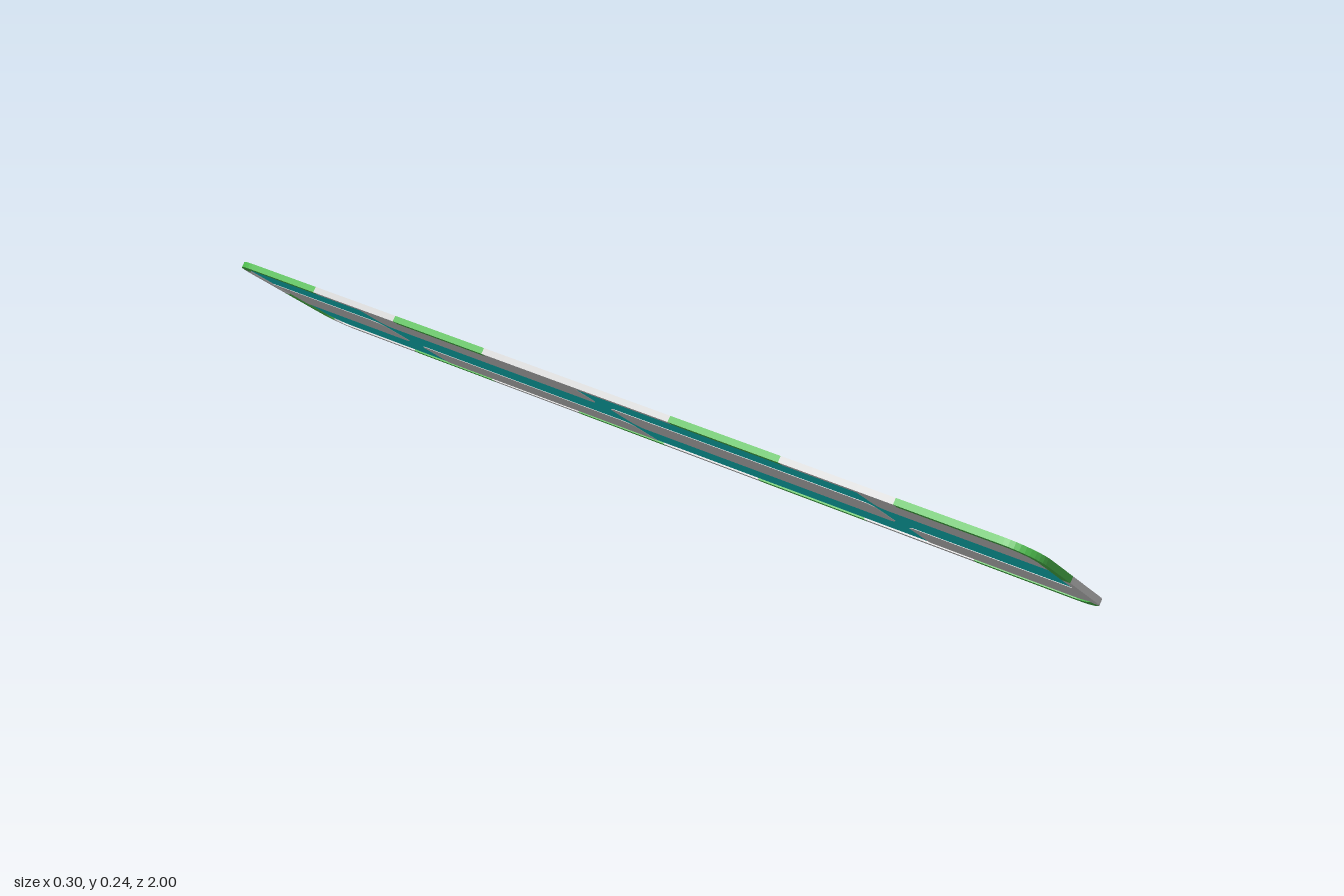
import * as THREE from 'three';

const HALF_W = 0.187, HALF_L = 1, CORNER = 0.065; // board outline
const RIM_W = 0.017, RIM_H = 0.0125;

// Rectangle with its own radius at each corner: [x0y0, x1y0, x1y1, x0y1]
function roundedRect(x0, x1, y0, y1, [a, b, c, d]) {
  const s = new THREE.Shape();
  const arc = (x, y, r, start) => {
    if (r > 0) s.absarc(x, y, r, start, start + Math.PI / 2, false);
    else s.lineTo(x, y);
  };
  s.moveTo(x0 + a, y0);
  s.lineTo(x1 - b, y0);
  arc(x1 - b, y0 + b, b, -Math.PI / 2);
  s.lineTo(x1, y1 - c);
  arc(x1 - c, y1 - c, c, 0);
  s.lineTo(x0 + d, y1);
  arc(x0 + d, y1 - d, d, Math.PI / 2);
  s.lineTo(x0, y0 + a);
  arc(x0 + a, y0 + a, a, Math.PI);
  return s;
}

// Flat slab lying in the xz plane, centred on y = 0 (shape y becomes -z)
function slab(name, shape, height, material) {
  const g = new THREE.ExtrudeGeometry(shape, { depth: height, bevelEnabled: false, curveSegments: 6 });
  g.translate(0, 0, -height / 2);
  g.rotateX(-Math.PI / 2);
  const mesh = new THREE.Mesh(g, material);
  mesh.name = name;
  return mesh;
}

// Which stretches of the rim are green
function rimIsGreen(x, z) {
  const within = (v, lo, hi) => v >= lo && v < hi;
  const highSide = x < 0;
  if (Math.abs(z) > 0.985) {
    return z > 0 ? x < -0.02 || x > 0.15 : x < -0.15 || within(x, 0, 0.16);
  }
  if (highSide) return within(Math.abs(z), 0.24, 0.49) || Math.abs(z) > 0.73;
  return z > 0.73 || within(z, 0.24, 0.49) || within(z, -0.24, 0) || within(z, -0.73, -0.49);
}

export function createModel() {
  const make = (name, color) => {
    const m = new THREE.MeshStandardMaterial({ color });
    m.name = name;
    return m;
  };
  const teal = make('teal', 0x0ecaca);
  const grey = make('lightGrey', 0xcdcdcd);
  const green = make('green', 0x4cb84c);

  const board = new THREE.Group();
  board.name = 'board';

  // Teal panel, tucked under the rim
  const pw = 0.178, pl = 0.991, r = 0.056, c = 0.022;
  board.add(slab('panel', roundedRect(-pw, pw, -pl, pl, [r, r, r, r]), 0.006, teal));

  // Grey patches in a staggered pattern, showing on both faces
  const e = 0.06;
  const patches = [
    roundedRect(-e, e, -0.62, 0, [c, c, c, c]),
    roundedRect(-e, e, 0.64, pl, [c, c, 0, 0]),
    roundedRect(e, pw, 0.02, 0.62, [c, 0, 0, c]),
    roundedRect(-pw, -e, 0.02, 0.62, [0, c, c, 0]),
    roundedRect(e, pw, -pl, -0.635, [0, r, 0, c]),
    roundedRect(-pw, -e, -pl, -0.635, [r, 0, c, 0]),
  ];
  for (const p of patches) board.add(slab('panelPatch', p, 0.008, grey));

  // Rim, cut into runs of one colour
  const outline = roundedRect(-HALF_W, HALF_W, -HALF_L, HALF_L, [CORNER, CORNER, CORNER, CORNER]);
  const outer = outline.getSpacedPoints(480);
  const inner = outer.map((p) => {
    const core = new THREE.Vector2(
      THREE.MathUtils.clamp(p.x, CORNER - HALF_W, HALF_W - CORNER),
      THREE.MathUtils.clamp(p.y, CORNER - HALF_L, HALF_L - CORNER));
    return p.clone().sub(core).normalize().multiplyScalar(-RIM_W).add(p);
  });
  const colourAt = (i) => rimIsGreen(
    (outer[i].x + outer[i + 1].x) / 2, -(outer[i].y + outer[i + 1].y) / 2);
  const last = outer.length - 1;
  for (let start = 0; start < last;) {
    const isGreen = colourAt(start);
    let end = start + 1;
    while (end < last && colourAt(end) === isGreen) end++;
    const run = new THREE.Shape([
      ...outer.slice(start, end + 1),
      ...inner.slice(start, end + 1).reverse(),
    ]);
    board.add(slab(isGreen ? 'rimGreen' : 'rimGrey', run, RIM_H, isGreen ? green : grey));
    start = end;
  }

  // Lean the board about its long axis
  board.rotation.z = -THREE.MathUtils.degToRad(38.9);
  board.position.y = 0.1223;

  const model = new THREE.Group();
  model.name = 'tiltedBoard';
  model.add(board);
  return model;
}
